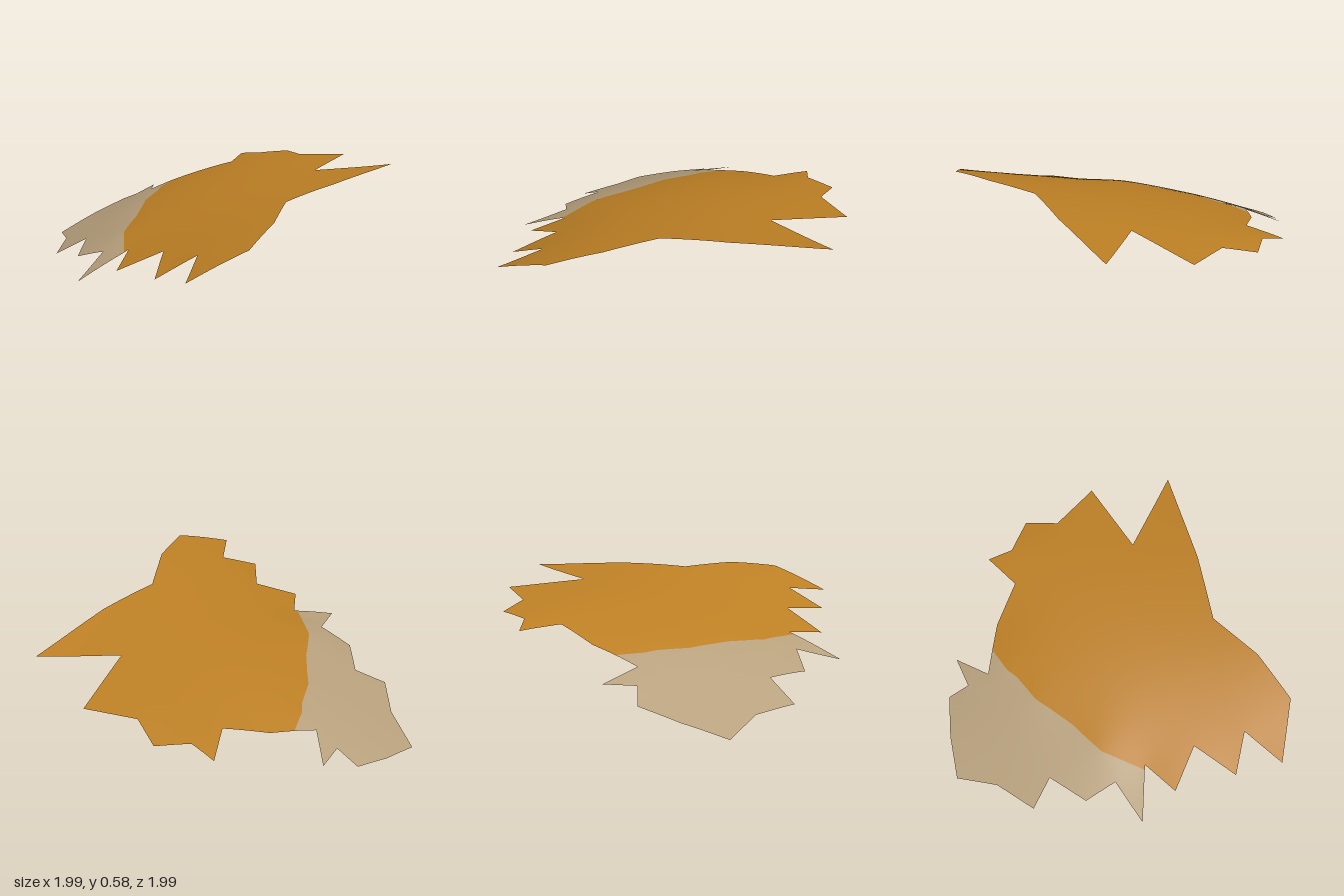
import * as THREE from 'three';

// Rim of the sheet as [x, y, z]: amber side, then grey side
const amberRim = [
  [-0.14, 0.34, -0.8], [0.11, 0.41, -0.79], [0.2, 0.395, -1], [0.29, 0.43, -0.89], [0.48, 0.44, -0.88],
  [0.53, 0.475, -0.7], [0.79, 0.5, -0.59], [0.54, 0.53, -0.23], [0.99, 0.565, -0.19], [0.58, 0.58, 0.15],
  [0.27, 0.565, 0.36], [0.16, 0.57, 0.66], [0, 0.535, 0.91], [-0.32, 0.41, 0.99], [-0.24, 0.445, 0.74],
  [-0.46, 0.34, 0.78], [-0.4, 0.375, 0.51], [-0.65, 0.27, 0.5], [-0.58, 0.295, 0.29],
];
const greyRim = [
  [-0.86, 0.165, 0.39], [-0.72, 0.24, 0.17], [-0.865, 0.165, 0.05], [-0.82, 0.17, -0.19], [-1, 0.07, -0.22],
  [-0.95, 0.06, -0.47], [-0.99, 0, -0.715], [-0.79, 0.07, -0.84], [-0.59, 0.13, -0.93], [-0.5, 0.2, -0.84],
  [-0.385, 0.21, -0.965], [-0.41, 0.26, -0.745],
];
// Line where the two colours meet, front to back
const seam = [
  [-0.605, 0.285, 0.3], [-0.6, 0.3, 0.04], [-0.56, 0.305, -0.07], [-0.52, 0.31, -0.17], [-0.48, 0.31, -0.33],
  [-0.46, 0.31, -0.42], [-0.38, 0.31, -0.57], [-0.36, 0.31, -0.64], [-0.28, 0.305, -0.772],
];

// Smooth height over the plan: a thin-plate spline through the rim and seam
function makeHeight(points) {
  const n = points.length, size = n + 3;
  const kernel = (dx, dz) => {
    const d = dx * dx + dz * dz;
    return d > 1e-12 ? 0.5 * d * Math.log(d) : 0;
  };
  const m = Array.from({ length: size }, () => new Array(size + 1).fill(0));
  points.forEach(([x, y, z], i) => {
    points.forEach(([px, , pz], j) => { m[i][j] = kernel(x - px, z - pz); });
    m[i][i] += 0.01;
    [1, x, z].forEach((v, k) => { m[i][n + k] = m[n + k][i] = v; });
    m[i][size] = y;
  });
  // Gauss-Jordan elimination with row swaps
  for (let c = 0; c < size; c++) {
    let best = c;
    for (let r = c + 1; r < size; r++) if (Math.abs(m[r][c]) > Math.abs(m[best][c])) best = r;
    [m[c], m[best]] = [m[best], m[c]];
    for (let r = 0; r < size; r++) {
      if (r === c) continue;
      const f = m[r][c] / m[c][c];
      for (let k = c; k <= size; k++) m[r][k] -= f * m[c][k];
    }
  }
  const w = m.map((row, i) => row[size] / row[i]);
  return (x, z) => points.reduce((sum, [px, , pz], i) => sum + w[i] * kernel(x - px, z - pz),
    w[n] + w[n + 1] * x + w[n + 2] * z);
}

// Fills an outline, divides each triangle into four repeatedly, then lifts it onto the curve
function makePatch(outline, height) {
  const plan = outline.map(([x, , z]) => new THREE.Vector2(x, -z));
  const flat = new THREE.ShapeGeometry(new THREE.Shape(plan)).toNonIndexed();
  const p = flat.attributes.position;
  let corners = [];
  for (let i = 0; i < p.count; i++) corners.push([p.getX(i), -p.getY(i)]);
  const mid = (a, b) => [(a[0] + b[0]) / 2, (a[1] + b[1]) / 2];
  for (let level = 0; level < 4; level++) {
    const next = [];
    for (let i = 0; i < corners.length; i += 3) {
      const [a, b, c] = corners.slice(i, i + 3);
      const ab = mid(a, b), bc = mid(b, c), ca = mid(c, a);
      next.push(a, ab, ca, ab, b, bc, ca, bc, c, ab, bc, ca);
    }
    corners = next;
  }
  const positions = [], normals = [], e = 0.01;
  for (const [x, z] of corners) {
    positions.push(x, height(x, z), z);
    const normal = new THREE.Vector3(
      height(x - e, z) - height(x + e, z), 2 * e, height(x, z - e) - height(x, z + e)).normalize();
    normals.push(normal.x, normal.y, normal.z);
  }
  const geometry = new THREE.BufferGeometry();
  geometry.setAttribute('position', new THREE.Float32BufferAttribute(positions, 3));
  geometry.setAttribute('normal', new THREE.Float32BufferAttribute(normals, 3));
  return geometry;
}

export function createModel() {
  const group = new THREE.Group();
  group.name = 'jaggedSheet';
  const amber = new THREE.MeshStandardMaterial({ color: 0xbc7f24, side: THREE.DoubleSide });
  amber.name = 'amber';
  const grey = new THREE.MeshStandardMaterial({ color: 0xb7a07c, side: THREE.DoubleSide });
  grey.name = 'warm grey';

  const height = makeHeight([...amberRim, ...greyRim, ...seam]);
  const add = (name, outline, material) => {
    const mesh = new THREE.Mesh(makePatch(outline, height), material);
    mesh.name = name;
    group.add(mesh);
  };
  add('amberSheet', [...amberRim, ...seam], amber);
  add('greyTip', [...greyRim, ...[...seam].reverse()], grey);
  return group;
}
